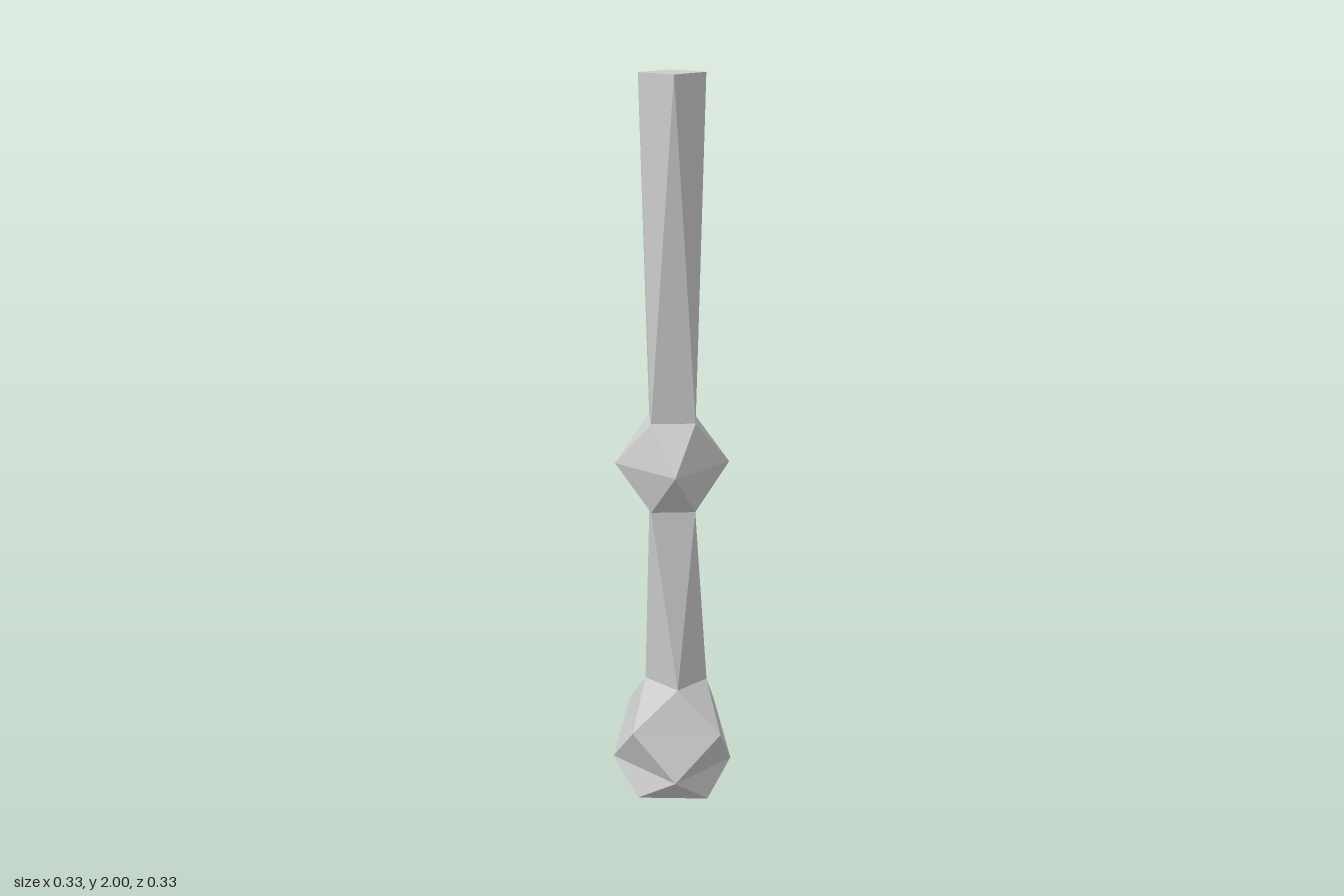
import * as THREE from 'three';

const TILT = -0.045; // slight lean of the base knob
const PIVOT = 0.087;

// A four-cornered ring. Odd rings are turned by 45 degrees so they face the axes.
function ring(y, radius, turned, tilted = false) {
  const points = [];
  for (let i = 0; i < 4; i++) {
    const a = (i + (turned ? 0.5 : 0)) * Math.PI / 2;
    const p = new THREE.Vector3(Math.sin(a) * radius, y, Math.cos(a) * radius);
    if (tilted) {
      p.y -= PIVOT;
      p.applyAxisAngle(new THREE.Vector3(0, 0, 1), TILT);
      p.y += PIVOT;
    }
    points.push(p);
  }
  return { points, turned };
}

// Joins rings, listed from bottom to top, with bands of triangles and optional caps.
function antiprism(name, rings, material, capBottom = false, capTop = false) {
  const pts = [];
  for (let k = 0; k < rings.length - 1; k++) {
    const b = rings[k].points, t = rings[k + 1].points;
    const s = rings[k].turned ? 1 : 0;
    for (let i = 0; i < 4; i++) {
      const n = (i + 1) % 4, u = (i + s) % 4, v = (i + s + 1) % 4;
      pts.push(b[i], b[n], t[u], b[n], t[v], t[u]);
    }
  }
  const [b0, b1, b2, b3] = rings[0].points;
  const [t0, t1, t2, t3] = rings[rings.length - 1].points;
  if (capBottom) pts.push(b0, b2, b1, b0, b3, b2);
  if (capTop) pts.push(t0, t1, t2, t0, t2, t3);
  const geometry = new THREE.BufferGeometry().setFromPoints(pts);
  geometry.computeVertexNormals();
  const mesh = new THREE.Mesh(geometry, material);
  mesh.name = name;
  return mesh;
}

export function createModel() {
  const grey = new THREE.MeshStandardMaterial({ color: 0xcccccc });
  grey.name = 'light grey';
  grey.flatShading = true;

  // Rings shared by neighbouring parts
  const foot = ring(0.007, 0.138, true, true);
  const belly = ring(0.087, 0.167, false, true);
  const shoulder = ring(0.215, 0.172, true, true);
  const neck = ring(0.331, 0.086, false, true);
  const knobBottom = ring(0.842, 0.084, true);
  const knobMiddle = ring(0.966, 0.155, false);
  const knobTop = ring(1.09, 0.084, true);
  const tip = ring(2, 0.087, false);

  const group = new THREE.Group();
  group.name = 'faceted staff';
  group.add(
    antiprism('baseKnob', [foot, belly, shoulder, neck], grey, true),
    antiprism('lowerShaft', [neck, knobBottom], grey),
    antiprism('middleKnob', [knobBottom, knobMiddle, knobTop], grey),
    antiprism('upperShaft', [knobTop, tip], grey, false, true)
  );
  return group;
}
